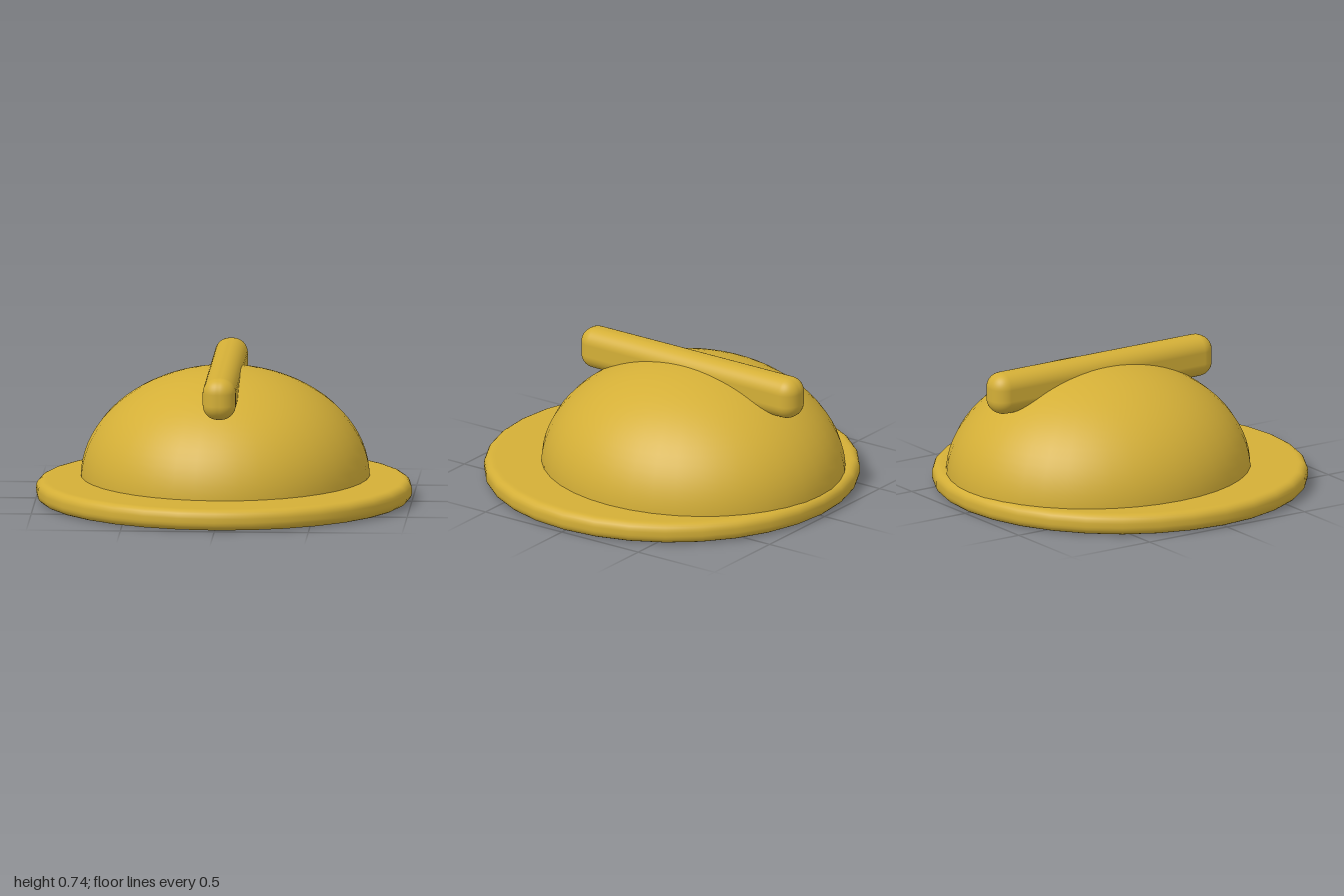
import * as THREE from 'three';
import { RoundedBoxGeometry } from 'three/addons/geometries/RoundedBoxGeometry.js';

export function createModel() {
  const model = new THREE.Group();
  model.name = 'hardHat';
  const yellow = new THREE.MeshStandardMaterial({ color: 0xd4af37 });
  yellow.name = 'helmet yellow';

  const add = (name, geometry, x, y, z) => {
    const mesh = new THREE.Mesh(geometry, yellow);
    mesh.name = name;
    mesh.position.set(x, y, z);
    model.add(mesh);
    return mesh;
  };

  // Brim: flat round disc with rounded rim, closed underneath
  const height = 0.112, r = 0.045;
  const profile = [new THREE.Vector2(0, 0), new THREE.Vector2(0.94, 0)];
  const corner = (cy, start) => {
    for (let i = 0; i <= 5; i++) {
      const a = start + (i / 5) * Math.PI / 2;
      profile.push(new THREE.Vector2(1 - r + r * Math.cos(a), cy + r * Math.sin(a)));
    }
  };
  corner(r, -Math.PI / 2);
  corner(height - r, 0);
  profile.push(new THREE.Vector2(0.94, height), new THREE.Vector2(0, height));
  add('brim', new THREE.LatheGeometry(profile, 32), 0, 0, 0);

  // Crown: upper half of an ellipsoid, set toward the back
  const crown = new THREE.SphereGeometry(1, 40, 20, 0, Math.PI * 2, 0, Math.PI / 2);
  crown.scale(0.77, 0.6, 0.83);
  add('crown', crown, 0, 0.09, -0.14);

  // Ridge: rounded bar running front to back across the crown
  add('ridge', new RoundedBoxGeometry(0.176, 0.224, 1.41, 5, 0.08), 0, 0.628, -0.135);

  return model;
}
